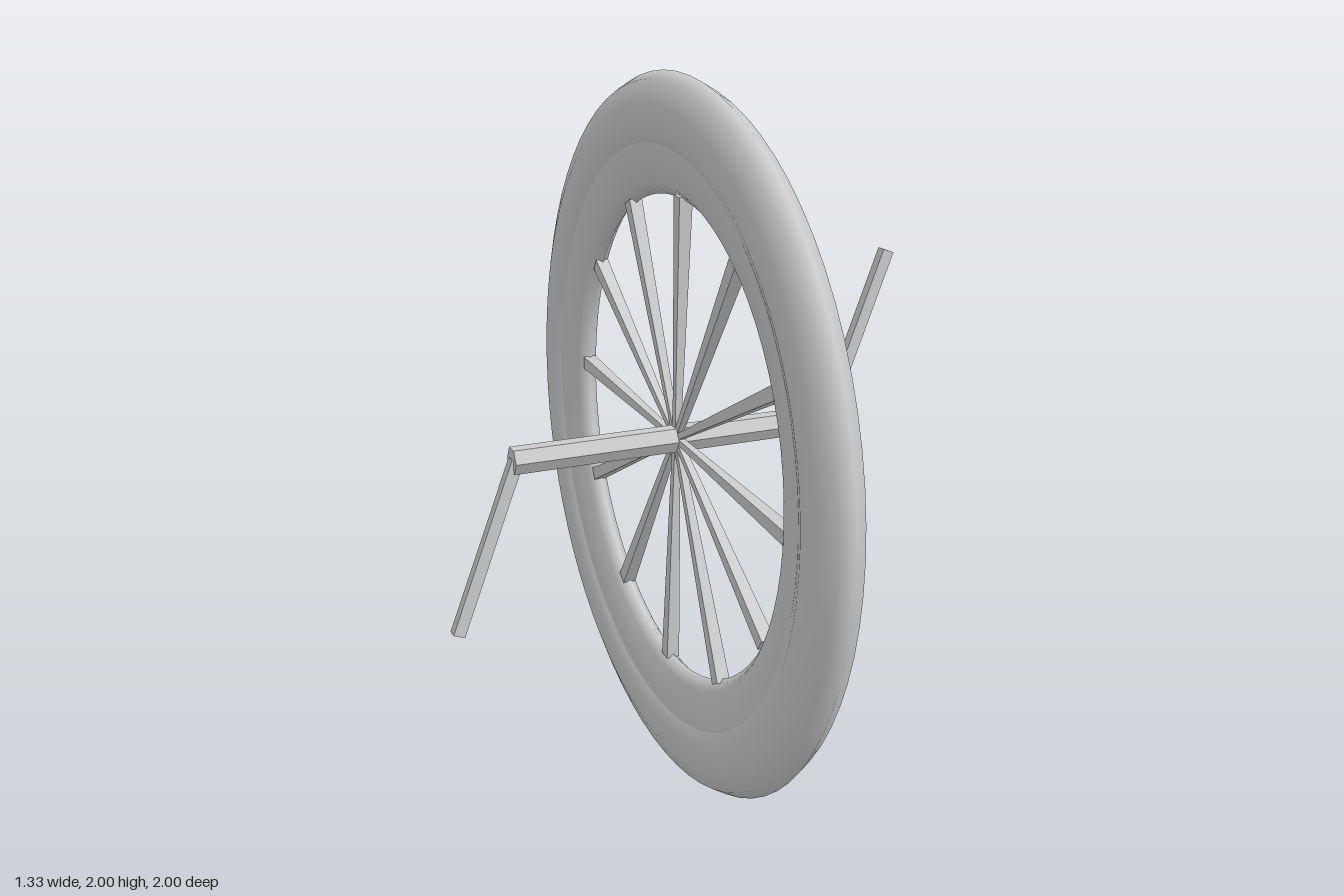
import * as THREE from 'three';

const material = new THREE.MeshStandardMaterial({ color: 0xcccccc });
const flat = new THREE.MeshStandardMaterial({ color: 0xcccccc, flatShading: true });

function addMesh(parent, name, geometry, mat) {
  const mesh = new THREE.Mesh(geometry, mat);
  mesh.name = name;
  parent.add(mesh);
  return mesh;
}

// Ring around the x axis with a ten-sided section, squashed to a given half width
function ringGeometry(innerRadius, outerRadius, halfWidth) {
  const tube = (outerRadius - innerRadius) / 2;
  const g = new THREE.TorusGeometry(innerRadius + tube, tube, 10, 72);
  g.scale(1, 1, halfWidth / (tube * Math.sin(Math.PI * 0.4)));
  return g.rotateY(Math.PI / 2);
}

export function createModel() {
  const model = new THREE.Group();
  model.name = 'wheelWithPedalCranks';

  const wheel = new THREE.Group();
  wheel.name = 'wheel';
  wheel.position.y = 1;
  model.add(wheel);

  // Tyre and the rim set into it
  addMesh(wheel, 'tyre', ringGeometry(0.768, 1, 0.061), material);
  addMesh(wheel, 'rim', ringGeometry(0.675, 0.985, 0.047), material);

  // Twelve square spokes, widening towards the rim
  const spokeLength = 0.685;
  const spokeGeometry = new THREE.CylinderGeometry(0.027, 0.012, spokeLength, 4);
  spokeGeometry.rotateY(Math.PI / 4).translate(0, spokeLength / 2, 0);
  for (let i = 0; i < 12; i++) {
    const spoke = addMesh(wheel, 'spoke', spokeGeometry, flat);
    spoke.rotation.x = THREE.MathUtils.degToRad(3.7 + i * 30);
  }

  // Hexagonal axle with corners to the front and back
  const axleGeometry = new THREE.CylinderGeometry(0.039, 0.039, 0.96, 6);
  axleGeometry.rotateZ(Math.PI / 2);
  addMesh(wheel, 'axle', axleGeometry, flat);

  // Cranks, one turned half way round from the other
  const start = new THREE.Vector2(0.468, 0);
  const end = new THREE.Vector2(0.65, 0.478);
  const reach = end.clone().sub(start);
  const crankGeometry = new THREE.BoxGeometry(0.034, reach.length(), 0.03);
  crankGeometry.rotateZ(reach.angle() - Math.PI / 2);
  crankGeometry.translate((start.x + end.x) / 2, (start.y + end.y) / 2, 0);
  addMesh(wheel, 'leftCrank', crankGeometry, flat);
  addMesh(wheel, 'rightCrank', crankGeometry, flat).rotation.z = Math.PI;

  return model;
}
